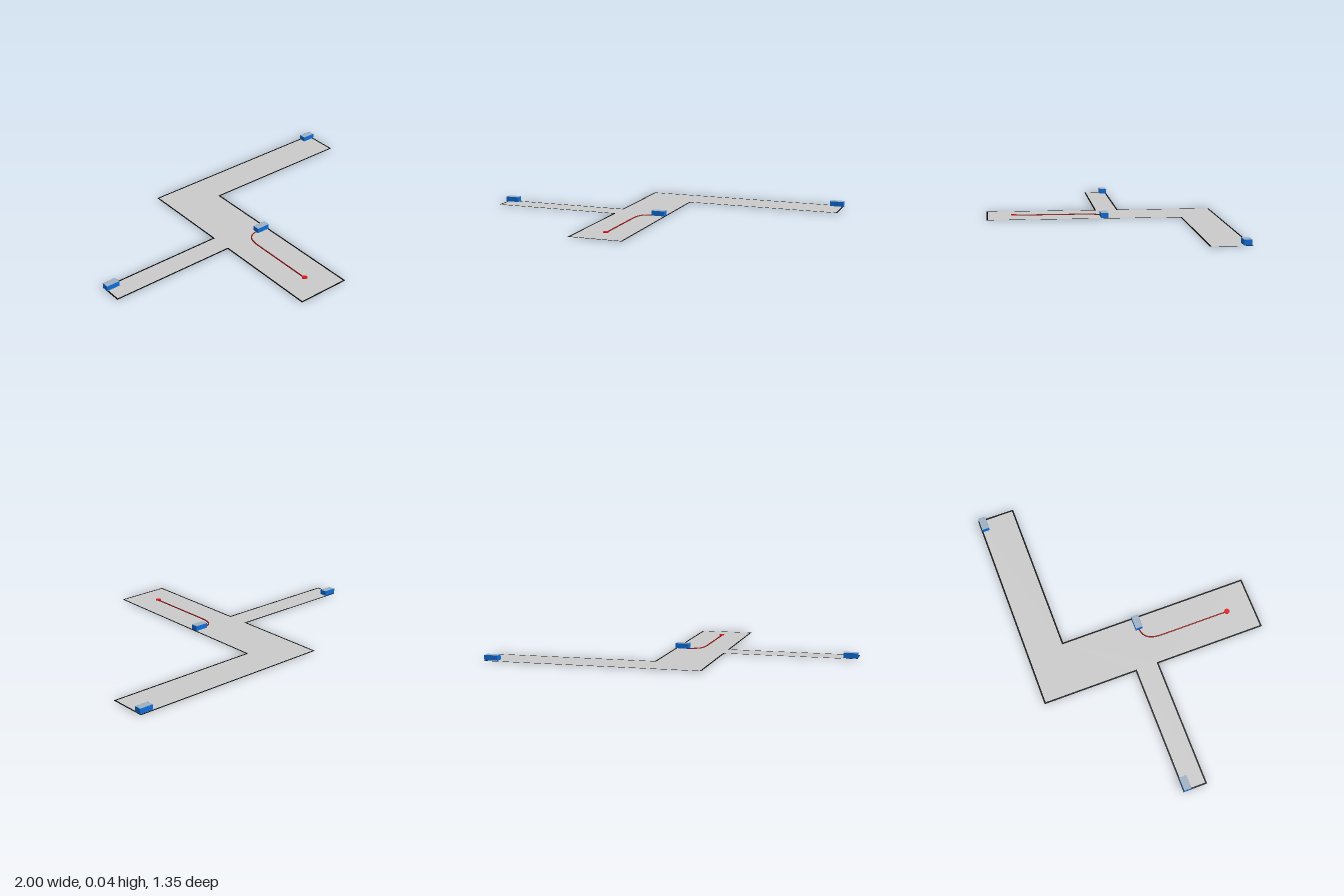
import * as THREE from 'three';

const FLOOR_Y = 0.002;

// Corridor outline as [x, z] corners
const OUTLINE = [
  [-0.235, 0.67], [0.073, 0.67], [0.073, -0.46], [0.993, -0.46], [0.993, -0.675],
  [-0.235, -0.675], [-0.235, -0.115], [-0.995, -0.115], [-0.995, 0.018], [-0.235, 0.018],
];

function material(color, extra = {}) {
  return new THREE.MeshStandardMaterial({ color, ...extra });
}

function add(parent, name, geometry, mat, x = 0, y = 0, z = 0) {
  const mesh = new THREE.Mesh(geometry, mat);
  mesh.name = name;
  mesh.position.set(x, y, z);
  parent.add(mesh);
  return mesh;
}

// Flat plate facing up
function plate(width, depth) {
  return new THREE.PlaneGeometry(width, depth).rotateX(-Math.PI / 2);
}

export function createModel() {
  const model = new THREE.Group();
  model.name = 'floorPlan';
  const blue = material(0x0f6fdc);
  const pale = material(0xa0b0c0);
  const red = material(0xe01515);
  const darkRed = material(0x8c1515);
  const black = material(0x080808);

  // Corridor floor
  const shape = new THREE.Shape(OUTLINE.map(([x, z]) => new THREE.Vector2(x, -z)));
  const floor = new THREE.ShapeGeometry(shape).rotateX(-Math.PI / 2);
  add(model, 'floor', floor, material(0xcccccc, { side: THREE.DoubleSide }), 0, FLOOR_Y, 0);

  // Dark border strips along the floor edge
  const border = new THREE.Group();
  border.name = 'floorBorder';
  model.add(border);
  const w = 0.009;
  OUTLINE.forEach(([x, z], i) => {
    const [nx, nz] = OUTLINE[(i + 1) % OUTLINE.length];
    const strip = plate(Math.abs(nx - x) + w, Math.abs(nz - z) + w);
    add(border, 'borderStrip', strip, black, (x + nx) / 2, FLOOR_Y + 0.0008, (z + nz) / 2);
  });

  // Room signs: blue blocks with a pale top
  const signs = [['leftArmSign', 0.957, -0.653], ['middleSign', 0.035, -0.009], ['rightArmSign', -0.96, -0.095]];
  for (const [name, x, z] of signs) {
    const sign = new THREE.Group();
    sign.name = name;
    sign.position.set(x, 0, z);
    add(sign, 'signBlock', new THREE.BoxGeometry(0.08, 0.029, 0.043), blue, 0, 0.0205, 0);
    add(sign, 'signTop', plate(0.078, 0.041), pale, 0, 0.0355, 0);
    model.add(sign);
  }

  // Route: straight run, then a bend to the middle sign
  const y = 0.004;
  const route = new THREE.CurvePath();
  const bend = new THREE.Vector3(-0.082, y, 0.11);
  route.add(new THREE.LineCurve3(new THREE.Vector3(-0.082, y, 0.515), bend));
  route.add(new THREE.CubicBezierCurve3(
    bend, new THREE.Vector3(-0.082, y, 0.03),
    new THREE.Vector3(-0.06, y, -0.008), new THREE.Vector3(0.01, y, -0.01)));
  add(model, 'route', new THREE.TubeGeometry(route, 60, 0.004, 8), darkRed);

  // Start marker
  add(model, 'startMarker', new THREE.CylinderGeometry(0.016, 0.016, 0.004, 32), red, -0.082, 0.008, 0.515);

  return model;
}
